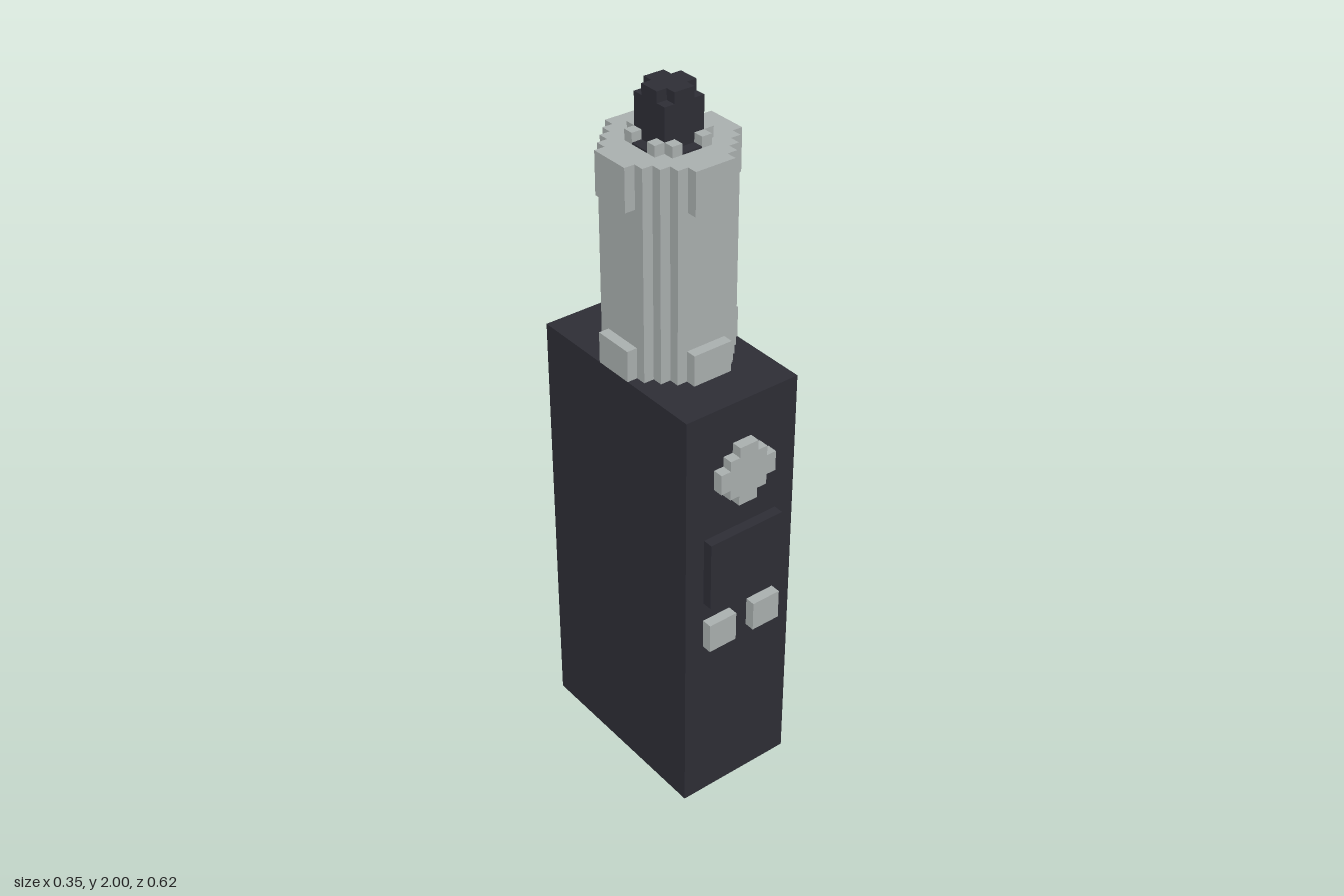
import * as THREE from 'three';

const V = 2 / 68; // one block unit
const TANK_Z = -0.5;

export function createModel() {
  const group = new THREE.Group();
  const dark = new THREE.MeshStandardMaterial({ color: 0x2d2d35 });
  dark.name = 'charcoal';
  const light = new THREE.MeshStandardMaterial({ color: 0xa9afae });
  light.name = 'steelGrey';

  const add = (name, geometry, material) => {
    const mesh = new THREE.Mesh(geometry, material);
    mesh.name = name;
    group.add(mesh);
    return mesh;
  };

  // Box given by its minimum and maximum corners in block units
  const block = (name, a, b, material) => {
    const s = b.map((v, i) => (v - a[i]) * V);
    const c = b.map((v, i) => ((v + a[i]) / 2) * V);
    add(name, new THREE.BoxGeometry(...s), material).position.set(...c);
  };

  // Blocky round outline: one quadrant of steps turned four times
  const steppedDisc = (steps, depth) => {
    const quadrant = [];
    steps.forEach(([x, y], i) => {
      if (i > 0) quadrant.push([x, steps[i - 1][1]]);
      quadrant.push([x, y]);
    });
    const points = [];
    for (let q = 0; q < 4; q++) {
      const c = [1, 0, -1, 0][q], s = [0, 1, 0, -1][q];
      for (const [x, y] of quadrant) points.push(new THREE.Vector2((x * c - y * s) * V, (x * s + y * c) * V));
    }
    return new THREE.ExtrudeGeometry(new THREE.Shape(points), { depth: depth * V, bevelEnabled: false });
  };
  const column = (name, steps, y0, y1, material) => {
    const geometry = steppedDisc(steps, y1 - y0).rotateX(-Math.PI / 2);
    add(name, geometry, material).position.set(0, y0 * V, TANK_Z * V);
  };

  // Body and front controls
  block('body', [-6, 0, -10.5], [6, 43, 9.5], dark);
  block('screen', [-4, 23, 9.5], [4, 30, 10.5], dark);
  block('rightButton', [-4, 18, 9.5], [-1, 21, 10.5], light);
  block('leftButton', [1, 18, 9.5], [4, 21, 10.5], light);
  add('fireButton', steppedDisc([[3, 1], [2, 2], [1, 3]], 1), light).position.set(0, 36 * V, 9.5 * V);

  // Tank with four clamps at its top and bottom
  column('tank', [[5, 3], [4, 4], [3, 5]], 43, 63, light);
  for (const [name, y0, y1] of [['lowerClamp', 43, 46], ['upperClamp', 59, 63]]) {
    for (const s of [-1, 1]) {
      const mid = s * 5.5;
      block(name, [mid - 0.5, y0, TANK_Z - 2], [mid + 0.5, y1, TANK_Z + 2], light);
      block(name, [-2, y0, TANK_Z + mid - 0.5], [2, y1, TANK_Z + mid + 0.5], light);
    }
  }

  // Mouthpiece seat, ring of studs and mouthpiece
  column('mouthpieceSeat', [[3, 1], [2, 2], [1, 3]], 63, 63.15, dark);
  for (const sx of [-1, 1]) for (const sz of [-1, 1]) {
    for (const [x, z] of [[2.5, 1.5], [1.5, 2.5]]) {
      const cx = sx * x, cz = TANK_Z + sz * z;
      block('ringStud', [cx - 0.5, 63, cz - 0.5], [cx + 0.5, 64, cz + 0.5], light);
    }
  }
  column('mouthpieceNeck', [[2, 1], [1, 2]], 63, 64, dark);
  block('mouthpiece', [-2, 64, TANK_Z - 2], [2, 67, TANK_Z + 2], dark);
  column('mouthpieceTip', [[2, 1], [1, 2]], 67, 68, dark);

  return group;
}
